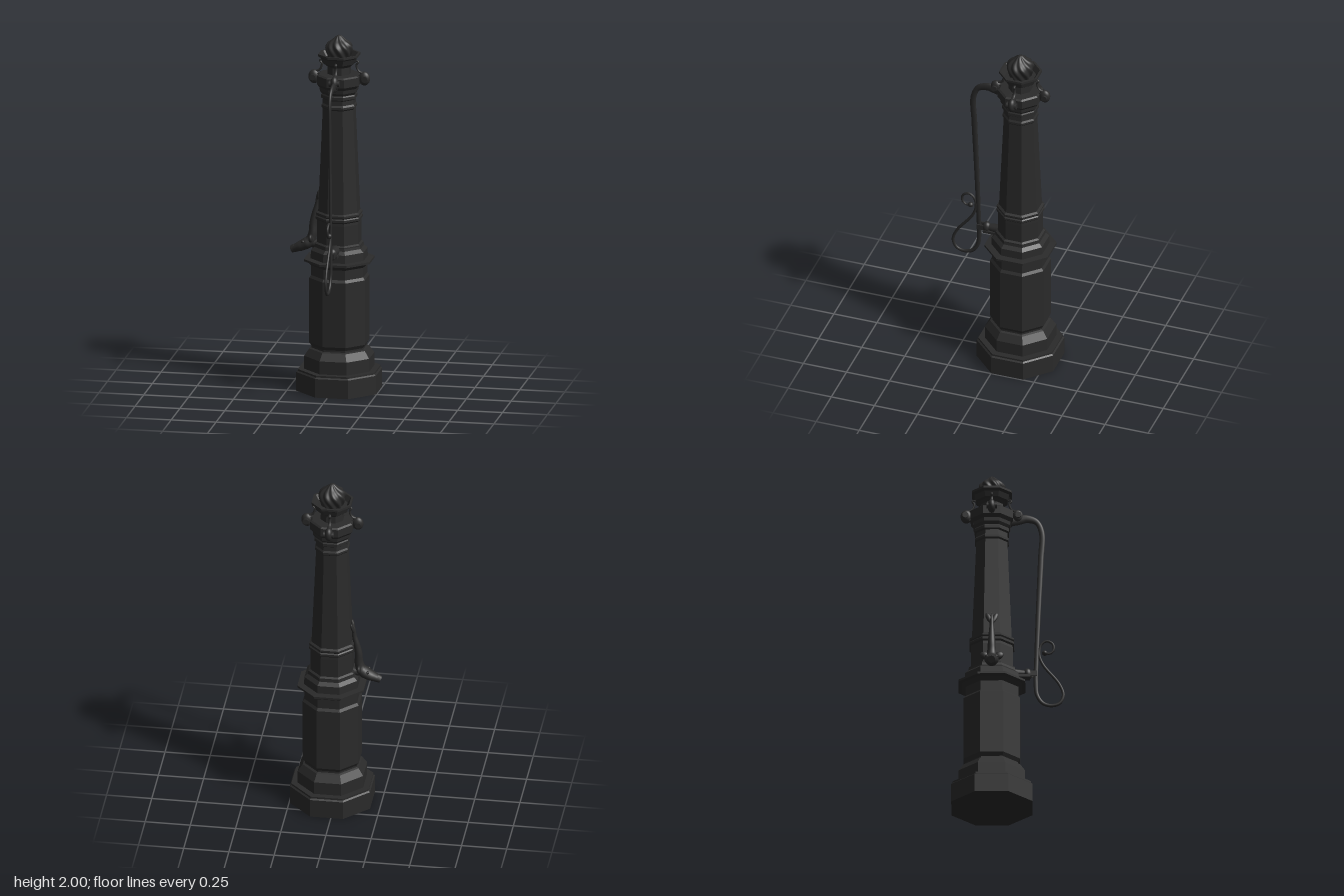
import * as THREE from 'three';
import { mergeVertices } from 'three/addons/utils/BufferGeometryUtils.js';

const COLOR = 0x2a2a2a;
const smooth = new THREE.MeshStandardMaterial({ color: COLOR });
const faceted = new THREE.MeshStandardMaterial({ color: COLOR, flatShading: true });

function add(parent, name, geometry, material = smooth) {
  const mesh = new THREE.Mesh(geometry, material);
  mesh.name = name;
  parent.add(mesh);
  return mesh;
}

// Octagonal column section; radii are measured to the flats.
function octagon(parent, name, profile) {
  const k = 1 / Math.cos(Math.PI / 8);
  const pts = profile.map(([r, y]) => new THREE.Vector2(r * k, y));
  return add(parent, name, new THREE.LatheGeometry(pts, 8, Math.PI / 8), faceted);
}

// Evenly spaced values along a sweep, linearly interpolated.
function sample(values, t) {
  const f = t * (values.length - 1), i = Math.min(Math.floor(f), values.length - 2);
  return THREE.MathUtils.lerp(values[i], values[i + 1], f - i);
}

// Sweep an ellipse along a curve in the xy plane: deep in plane, wide across it.
function sweep(path, deep, wide, steps = 60, sides = 12) {
  const curve = new THREE.CatmullRomCurve3(path.map(([x, y]) => new THREE.Vector3(x, y, 0)), false, 'centripetal');
  const g = new THREE.TubeGeometry(curve, steps, 1, sides);
  const p = g.attributes.position;
  for (let i = 0; i <= steps; i++) {
    const t = i / steps, c = curve.getPointAt(t), d = sample(deep, t), w = sample(wide, t);
    for (let j = 0; j <= sides; j++) {
      const n = i * (sides + 1) + j;
      p.setXYZ(n, c.x + (p.getX(n) - c.x) * d, c.y + (p.getY(n) - c.y) * d, p.getZ(n) * w);
    }
  }
  return weld(g);
}

function weld(g) {
  g.deleteAttribute('uv');
  g.deleteAttribute('normal');
  const m = mergeVertices(g, 1e-5);
  m.computeVertexNormals();
  return m;
}

function ellipsoid(parent, name, pos, size, rot = [0, 0, 0]) {
  const m = add(parent, name, new THREE.SphereGeometry(1, 20, 14));
  m.position.set(...pos);
  m.scale.set(...size);
  m.rotation.set(...rot);
  return m;
}

// Group whose local +x points outward from the column.
function side(parent, name, angle) {
  const g = new THREE.Group();
  g.name = name;
  g.rotation.y = angle;
  parent.add(g);
  return g;
}

export function createModel() {
  const root = new THREE.Group();
  root.name = 'waterPump';
  const pump = new THREE.Group();
  pump.name = 'pump';
  pump.position.set(0.024, 0, -0.092);
  root.add(pump);

  // Column, from the ground upward
  octagon(pump, 'plinth', [[0, 0], [0.222, 0], [0.222, 0.105], [0.214, 0.112], [0.214, 0.122],
    [0.181, 0.122], [0.181, 0.195], [0.155, 0.235], [0.143, 0.24], [0.143, 0.26]]);
  octagon(pump, 'lowerBody', [[0.143, 0.25], [0.155, 0.27], [0.155, 0.635], [0.145, 0.65], [0.145, 0.71]]);
  octagon(pump, 'flange', [[0.145, 0.705], [0.158, 0.718], [0.165, 0.725], [0.183, 0.73], [0.183, 0.742],
    [0.148, 0.745], [0.146, 0.79], [0.128, 0.808], [0.126, 0.822]]);
  octagon(pump, 'collar', [[0.126, 0.815], [0.126, 0.828], [0.115, 0.835], [0.115, 0.945], [0.114, 0.96],
    [0.122, 0.968], [0.122, 0.98], [0.116, 0.986], [0.121, 0.993], [0.121, 1.003], [0.109, 1.01]]);
  octagon(pump, 'shaft', [[0.109, 1.005], [0.085, 1.595]]);
  octagon(pump, 'upperRings', [[0.085, 1.59], [0.092, 1.598], [0.092, 1.61], [0.086, 1.62], [0.085, 1.645],
    [0.094, 1.652], [0.094, 1.668], [0.09, 1.675], [0.1, 1.69], [0.102, 1.715]]);
  octagon(pump, 'head', [[0.102, 1.71], [0.116, 1.728], [0.116, 1.775], [0.106, 1.782], [0.062, 1.785],
    [0.06, 1.83]]);
  octagon(pump, 'crown', [[0.06, 1.825], [0.075, 1.838], [0.085, 1.845], [0.095, 1.875], [0.109, 1.885],
    [0.109, 1.897], [0.098, 1.897], [0.08, 1.868], [0, 1.868]]);

  // Finial with twisted flutes
  const bud = [[0.055, 1.86], [0.062, 1.885], [0.071, 1.915], [0.07, 1.94], [0.056, 1.96],
    [0.036, 1.975], [0.022, 1.988], [0.01, 1.998], [0, 2]];
  const budCurve = new THREE.SplineCurve(bud.map(([r, y]) => new THREE.Vector2(r, y)));
  const finial = new THREE.LatheGeometry(budCurve.getPoints(28).map(v => v.set(Math.max(v.x, 0), Math.min(v.y, 2))), 72);
  const fp = finial.attributes.position;
  for (let i = 0; i < fp.count; i++) {
    const a = Math.atan2(fp.getX(i), fp.getZ(i));
    const s = 1 + 0.07 * Math.cos(9 * (a + 9 * (fp.getY(i) - 1.86)));
    fp.setX(i, fp.getX(i) * s);
    fp.setZ(i, fp.getZ(i) * s);
  }
  add(pump, 'finial', weld(finial));

  // Scrolled lugs on all four sides
  for (let k = 0; k < 4; k++) {
    const lug = side(pump, 'lug', k * Math.PI / 2);
    const arm = add(lug, 'lugArm', new THREE.BoxGeometry(0.06, 0.05, 0.026));
    arm.position.set(0.115, 1.757, 0);
    ellipsoid(lug, 'lugKnob', [0.14, 1.76, 0], [0.032, 0.039, 0.023]);
    const boss = add(lug, 'lugBoss', new THREE.CylinderGeometry(0.017, 0.017, 0.058, 16));
    boss.rotation.x = Math.PI / 2;
    boss.position.set(0.145, 1.76, 0);
    add(lug, 'lugScroll', sweep([[0.135, 1.79], [0.112, 1.798], [0.1, 1.815], [0.097, 1.838], [0.108, 1.85],
      [0.1, 1.858], [0.085, 1.85]], [0.006, 0.006, 0.004], [0.009, 0.008, 0.006], 24, 8));
  }

  // Pump handle with looped, curled end
  const front = side(pump, 'pumpHandle', -Math.PI / 2);
  add(front, 'handleBar', sweep([[0.1, 1.735], [0.14, 1.738], [0.19, 1.745], [0.245, 1.725], [0.273, 1.66],
    [0.268, 1.5], [0.255, 1.2], [0.244, 0.9], [0.24, 0.76], [0.248, 0.68], [0.28, 0.632], [0.325, 0.618],
    [0.37, 0.632], [0.391, 0.68], [0.37, 0.745], [0.28, 0.865], [0.259, 0.925], [0.269, 0.985], [0.3, 1.007],
    [0.333, 0.99], [0.338, 0.955], [0.318, 0.932], [0.29, 0.935]],
  [0.034, 0.016, 0.017, 0.016, 0.015, 0.014, 0.013, 0.013, 0.01, 0.008, 0.008, 0.007, 0.006],
  [0.014, 0.009, 0.008, 0.008, 0.008, 0.008, 0.008, 0.008, 0.008, 0.007, 0.007, 0.007, 0.006], 180, 10));
  ellipsoid(front, 'handleBall', [0.289, 0.935, 0], [0.015, 0.015, 0.015]);

  // Handle rest low on the front
  const rest = side(pump, 'handleRest', -Math.PI / 2);
  const base = add(rest, 'restPlate', new THREE.BoxGeometry(0.075, 0.014, 0.055));
  base.position.set(0.17, 0.79, 0);
  const stem = add(rest, 'restStem', new THREE.CylinderGeometry(0.017, 0.03, 0.09, 16));
  stem.rotation.z = -Math.PI / 2;
  stem.position.set(0.155, 0.81, 0);
  ellipsoid(rest, 'restKnob', [0.195, 0.808, 0], [0.025, 0.033, 0.025]);
  for (const s of [-1, 1]) {
    const prong = add(rest, 'restProng', new THREE.BoxGeometry(0.045, 0.03, 0.008));
    prong.position.set(0.225, 0.808, s * 0.015);
  }

  // Fish-shaped spout with raised tail
  const spout = side(pump, 'spout', Math.PI);
  add(spout, 'spoutBody', sweep([[0.108, 1.13], [0.117, 1.085], [0.122, 1.04], [0.134, 0.99], [0.145, 0.93],
    [0.148, 0.87], [0.162, 0.83], [0.195, 0.806], [0.23, 0.79], [0.262, 0.777]],
  [0.002, 0.011, 0.013, 0.017, 0.02, 0.022, 0.026, 0.033, 0.028, 0.018],
  [0.002, 0.011, 0.013, 0.017, 0.02, 0.023, 0.027, 0.04, 0.034, 0.02], 60, 16));
  const lip = add(spout, 'spoutMouth', new THREE.CylinderGeometry(0.02, 0.024, 0.022, 12));
  lip.position.set(0.257, 0.779, 0);
  lip.rotation.z = -Math.PI / 2 - 0.4;
  const pipe = add(spout, 'spoutPipe', new THREE.CylinderGeometry(0.022, 0.026, 0.08, 16));
  pipe.rotation.z = -Math.PI / 2;
  pipe.position.set(0.14, 0.815, 0);
  for (const s of [-1, 1]) {
    ellipsoid(spout, 'sideFin', [0.152, 0.85, s * 0.038], [0.012, 0.022, 0.028], [-s * 0.5, 0, 0]);
    ellipsoid(spout, 'tailFin', [0.114, 1.095, s * 0.016], [0.008, 0.036, 0.014], [s * 0.4, 0, 0.2]);
    ellipsoid(spout, 'eye', [0.198, 0.826, s * 0.026], [0.009, 0.009, 0.009]);
  }
  return root;
}
